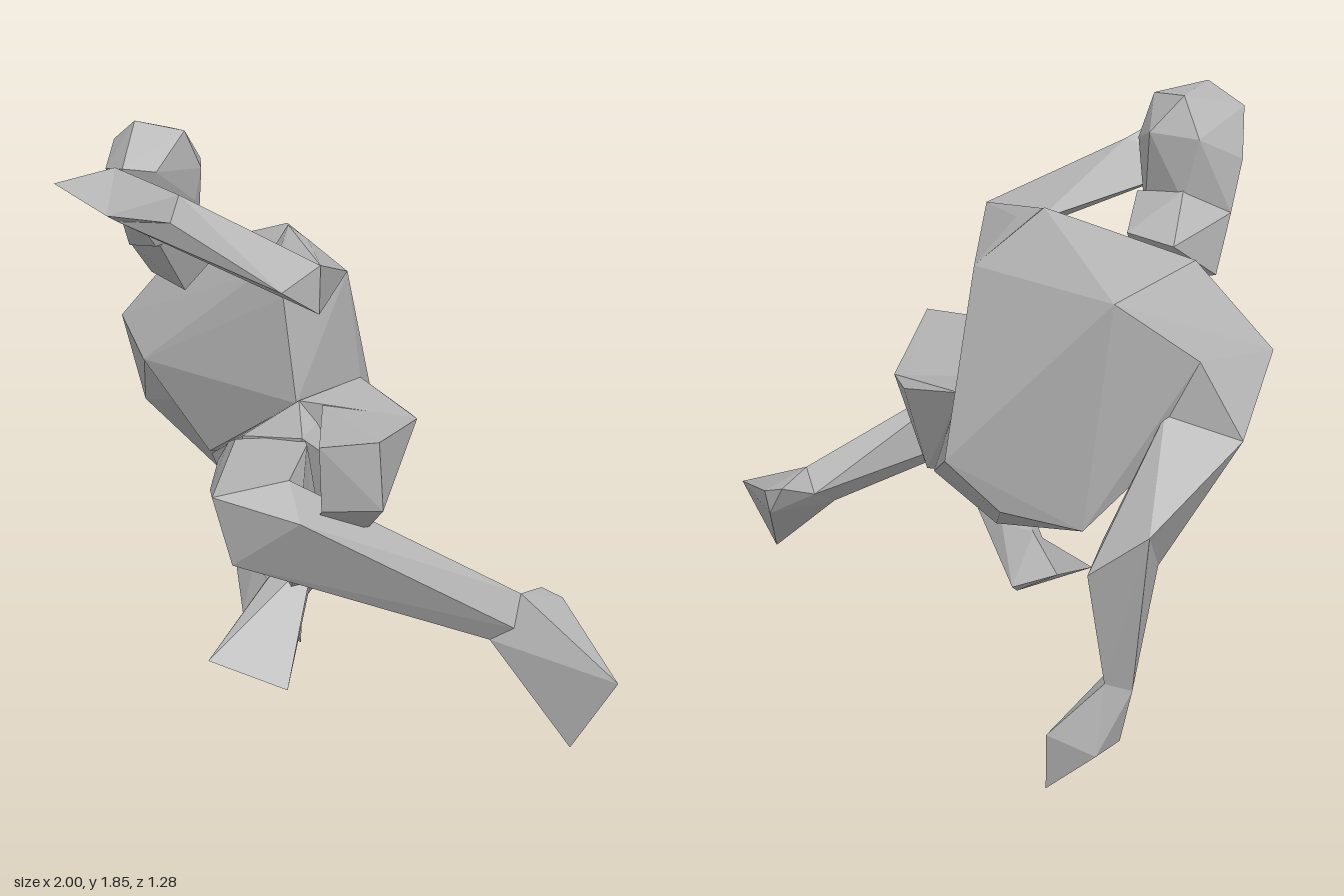
import * as THREE from 'three';
import { ConvexGeometry } from 'three/addons/geometries/ConvexGeometry.js';

const skin = new THREE.MeshStandardMaterial({ color: 0xb2b2b2 });
skin.name = 'plain grey';

// One faceted block spanning all the given cross-sections
function block(name, ...loops) {
  const points = loops.flat().map((p) => new THREE.Vector3(...p));
  const mesh = new THREE.Mesh(new ConvexGeometry(points), skin);
  mesh.name = name;
  return mesh;
}

// A jointed limb: a block between each pair of neighbouring cross-sections
function limb(name, names, loops) {
  const group = new THREE.Group();
  group.name = name;
  names.forEach((n, i) => group.add(block(n, loops[i], loops[i + 1])));
  return group;
}

export function createModel() {
  const model = new THREE.Group();
  model.name = 'crouching figure';

  // Head and neck
  const crown = [[-0.66, 1.845, 0.16], [-0.67, 1.825, -0.02], [-0.545, 1.815, 0.06], [-0.785, 1.79, 0.12]];
  const brow = [[-0.73, 1.7, 0.22], [-0.61, 1.7, 0.275], [-0.54, 1.69, 0.2], [-0.53, 1.7, 0],
    [-0.6, 1.73, -0.08], [-0.74, 1.72, -0.07], [-0.82, 1.66, 0.04]];
  const jaw = [[-0.63, 1.59, 0.24], [-0.54, 1.6, 0.02], [-0.6, 1.46, 0.14], [-0.72, 1.46, 0.13],
    [-0.57, 1.5, -0.03], [-0.7, 1.55, -0.07], [-0.81, 1.52, 0]];
  model.add(block('head', crown, brow, jaw));
  model.add(block('neck',
    [[-0.6, 1.46, 0.12], [-0.72, 1.46, 0.12], [-0.81, 1.52, 0], [-0.7, 1.58, -0.07], [-0.55, 1.56, -0.04]],
    [[-0.8, 1.36, -0.06], [-0.63, 1.31, -0.03], [-0.58, 1.42, -0.13], [-0.6, 1.48, -0.2], [-0.74, 1.46, -0.21]]));

  // Torso: shoulders, chest and waist
  const shoulders = [[-0.36, 1.525, -0.22], [-0.7, 1.36, -0.47], [-0.88, 1.2, -0.33],
    [-1, 1.2, -0.13], [-0.8, 1.43, -0.2], [-0.21, 1.37, -0.34]];
  const chest = [[-0.83, 1.07, -0.045], [-0.38, 1.37, -0.09], [-0.28, 1.3, -0.09]];
  const waist = [[-0.2, 1.02, -0.4], [-0.23, 0.97, -0.09], [-0.25, 0.88, -0.56], [-0.4, 0.76, -0.51],
    [-0.63, 0.73, -0.48], [-0.62, 0.77, -0.13], [-0.7, 0.92, -0.1]];
  model.add(block('torso', shoulders, chest, waist));

  // Pelvis
  model.add(block('pelvis',
    [[-0.2, 1.02, -0.4], [-0.22, 0.98, -0.09], [-0.25, 0.88, -0.56], [-0.4, 0.75, -0.52], [-0.63, 0.73, -0.48], [-0.62, 0.76, -0.14]],
    [[0, 0.69, -0.22], [-0.18, 0.54, -0.16], [-0.37, 0.57, 0], [-0.36, 0.87, 0.02], [-0.14, 0.88, 0]]));

  // Left arm folded across to the chin
  model.add(limb('leftArm', ['leftUpperArm', 'leftForearm', 'leftHand'], [
    [[-0.35, 1.52, -0.21], [-0.25, 1.48, -0.18], [-0.21, 1.37, -0.34], [-0.27, 1.3, -0.09], [-0.38, 1.37, -0.09]],
    [[0.04, 1.43, 0.15], [0.05, 1.29, 0.17], [0.02, 1.36, 0.31], [-0.15, 1.4, 0.13]],
    [[-0.33, 1.63, 0.34], [-0.33, 1.55, 0.38], [-0.52, 1.55, 0.4]],
    [[-0.43, 1.71, 0.5], [-0.565, 1.665, 0.61], [-0.41, 1.575, 0.56]],
  ]));

  // Right arm reaching back to the ground
  model.add(limb('rightArm', ['rightShoulder', 'rightUpperArm', 'rightForearm', 'rightHand'], [
    [[-1, 1.2, -0.13], [-0.83, 1.07, -0.05], [-0.88, 1.2, -0.33]],
    [[-1, 1, -0.31], [-0.9, 0.92, -0.13], [-0.7, 0.92, -0.2], [-0.8, 1.05, -0.36]],
    [[-0.87, 0.8, -0.58], [-0.73, 0.69, -0.645], [-0.7, 0.73, -0.5], [-0.82, 0.65, -0.41]],
    [[-0.78, 0.29, -0.46], [-0.69, 0.31, -0.45], [-0.73, 0.33, -0.53]],
    [[-0.74, 0.12, -0.445], [-0.73, 0.13, -0.57], [-0.59, 0, -0.59], [-0.61, 0.19, -0.63], [-0.585, 0.16, -0.51]],
  ]));

  // Left leg, folded under at the knee
  const leftKnee = [[0.41, 0.985, 0.39], [0.43, 0.8, 0.4], [0.26, 0.785, 0.45], [0.26, 0.965, 0.46]];
  model.add(limb('leftThigh', ['leftHip', 'leftThigh'], [
    [[-0.2, 1.02, -0.4], [-0.22, 0.98, -0.09], [-0.2, 0.72, -0.2]],
    [[0.17, 0.95, -0.17], [0.07, 0.95, -0.27], [0.03, 0.69, -0.21], [-0.15, 0.97, -0.12], [-0.08, 0.75, -0.1]],
    leftKnee,
  ]));
  model.add(limb('leftLowerLeg', ['leftShin', 'leftFoot'], [
    [leftKnee[1], leftKnee[2], [0.34, 0.8, 0.24], [0.2, 0.77, 0.28]],
    [[-0.25, 0.49, -0.06], [-0.165, 0.41, 0.03], [-0.14, 0.5, -0.06], [-0.35, 0.385, -0.09], [-0.23, 0.34, -0.15]],
    [[-0.26, 0.23, 0.32], [-0.05, 0.145, 0.2]],
  ]));

  // Right leg, knee forward and shin swept out to the side
  const rightKnee = [[0.03, 0.83, 0.64], [0.05, 0.63, 0.58], [0.14, 0.61, 0.44], [0.15, 0.86, 0.45], [0.24, 0.76, 0.52]];
  model.add(limb('rightLeg', ['rightHip', 'rightThigh', 'rightShin', 'rightFoot'], [
    [[-0.62, 0.75, -0.18], [-0.5, 0.82, -0.08], [-0.37, 0.56, -0.02], [-0.18, 0.54, -0.16], [-0.2, 0.87, -0.08]],
    [[-0.37, 0.72, 0.17], [-0.3, 0.58, 0.12], [-0.12, 0.57, -0.02], [-0.1, 0.87, 0.03], [-0.34, 0.87, 0.08]],
    rightKnee,
    [[0.63, 0.51, -0.01], [0.64, 0.42, 0.04], [0.57, 0.38, 0.06], [0.57, 0.44, -0.05]],
    [[0.61, 0.49, -0.17], [0.68, 0.47, -0.17], [0.67, 0.39, -0.16], [1, 0.345, 0.11], [0.86, 0.135, 0.11]],
  ]));

  return model;
}
